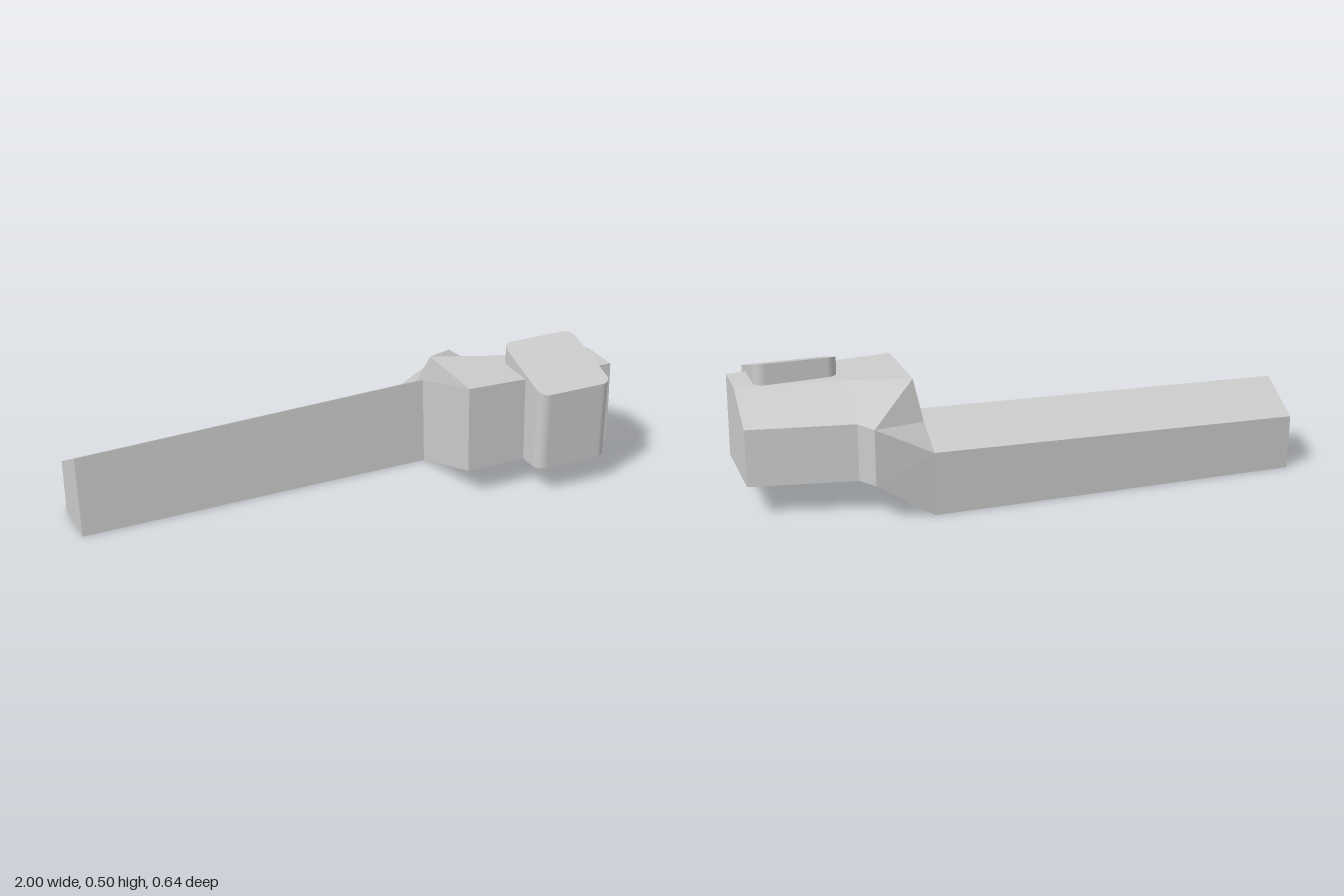
import * as THREE from 'three';

const material = new THREE.MeshStandardMaterial({ color: 0xcccccc });

// Flat-faced skin over cross-sections listed from +x to -x.
function loft(sections) {
  const out = [];
  const tri = (...pts) => pts.forEach((p) => out.push(...p));
  const n = sections[0].length;
  for (let i = 0; i < sections.length - 1; i++) {
    const a = sections[i], b = sections[i + 1];
    for (let j = 0; j < n; j++) {
      const k = (j + 1) % n;
      tri(b[j], a[j], a[k]);
      tri(b[j], a[k], b[k]);
    }
  }
  const first = sections[0], last = sections[sections.length - 1];
  for (let j = 1; j < n - 1; j++) {
    tri(first[0], first[j + 1], first[j]);
    tri(last[0], last[j], last[j + 1]);
  }
  const geometry = new THREE.BufferGeometry();
  geometry.setAttribute('position', new THREE.Float32BufferAttribute(out, 3));
  geometry.computeVertexNormals();
  return geometry;
}

// Rounded upright block whose top slopes down towards the front.
function slopedPad(x0, x1, zBack, zFront, y0, yBack, yFront, r) {
  const s = new THREE.Shape();
  // Shape y is -z, so the extrusion runs upwards after rotation.
  const b = -zFront, t = -zBack;
  s.moveTo(x0 + r, b);
  s.lineTo(x1 - r, b);
  s.absarc(x1 - r, b + r, r, -Math.PI / 2, 0);
  s.lineTo(x1, t - r);
  s.absarc(x1 - r, t - r, r, 0, Math.PI / 2);
  s.lineTo(x0 + r, t);
  s.absarc(x0 + r, t - r, r, Math.PI / 2, Math.PI);
  s.lineTo(x0, b + r);
  s.absarc(x0 + r, b + r, r, Math.PI, Math.PI * 1.5);
  const geometry = new THREE.ExtrudeGeometry(s, { depth: 1, bevelEnabled: false, curveSegments: 10 });
  geometry.rotateX(-Math.PI / 2);
  const p = geometry.attributes.position;
  for (let i = 0; i < p.count; i++) {
    const f = (p.getZ(i) - zBack) / (zFront - zBack);
    const top = yBack + (yFront - yBack) * f;
    p.setY(i, p.getY(i) > 0.5 ? top : y0);
  }
  geometry.computeVertexNormals();
  // Smooth the rounded walls with horizontal normals taken from the outline.
  const normal = geometry.attributes.normal;
  const cx = (x0 + x1) / 2, cz = (zBack + zFront) / 2;
  const hx = (x1 - x0) / 2 - r, hz = (zFront - zBack) / 2 - r;
  for (let i = 0; i < p.count; i++) {
    if (Math.abs(normal.getY(i)) > 0.3) continue;
    const dx = p.getX(i) - cx, dz = p.getZ(i) - cz;
    const v = new THREE.Vector3(
      Math.sign(dx) * Math.max(Math.abs(dx) - hx, 0), 0,
      Math.sign(dz) * Math.max(Math.abs(dz) - hz, 0)).normalize();
    normal.setXYZ(i, v.x, v.y, v.z);
  }
  return geometry;
}

export function createModel() {
  const group = new THREE.Group();
  const add = (name, geometry) => {
    const mesh = new THREE.Mesh(geometry, material);
    mesh.name = name;
    group.add(mesh);
  };

  // Section corners: front bottom, front top, ridge, back top, back bottom.
  const headEnd = [[0.995, 0.11, 0.215], [0.995, 0.425, 0.2], [0.995, 0.425, 0.04], [0.995, 0.325, -0.125], [0.995, 0.115, -0.125]];
  const headInner = [[0.62, 0.11, 0.215], [0.62, 0.433, 0.2], [0.62, 0.433, -0.03], [0.62, 0.335, -0.22], [0.62, 0.125, -0.22]];
  const mitre = [[0.39, 0.11, 0.215], [0.39, 0.44, 0.2], [0.39, 0.44, -0.11], [0.585, 0.345, -0.32], [0.585, 0.14, -0.32]];
  const armSection = (x, top) => [[x, 0, -0.11], [x, top, -0.135], [x, top - 0.03, -0.19], [x, top - 0.1, -0.32], [x, 0, -0.315]];

  add('head', loft([headEnd, headInner, mitre]));
  add('elbow', loft([mitre, armSection(0.375, 0.335)]));
  add('arm', loft([armSection(0.375, 0.335), armSection(-1, 0.305)]));

  // Sloped pad on the front of the head
  add('frontPad', slopedPad(0.625, 0.925, 0.023, 0.32, 0.11, 0.505, 0.413, 0.04));
  return group;
}
